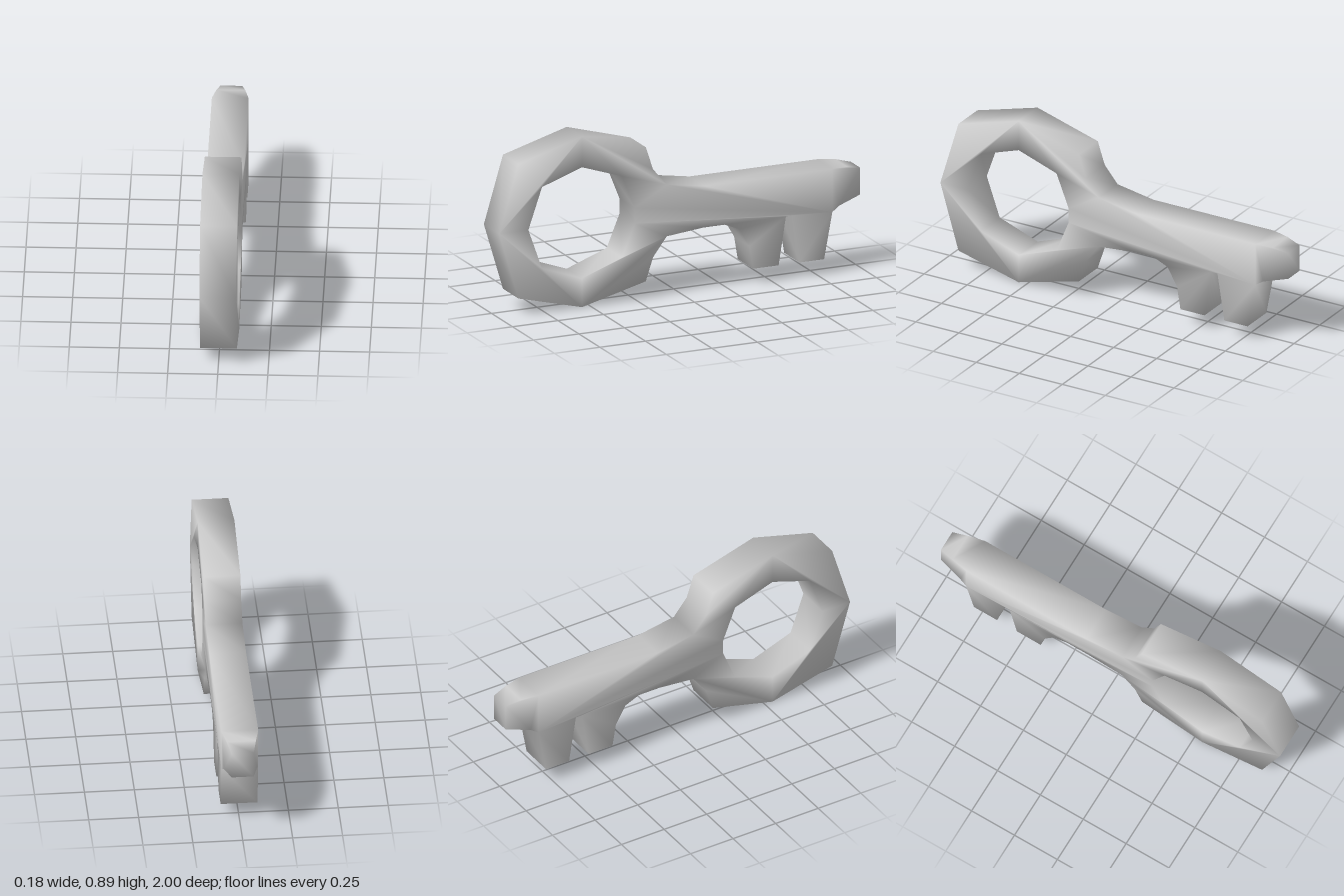
import * as THREE from 'three';

// Key outline as [z, y]: bow, shank, two teeth, tip and back to the bow
const outline = [
  [0.545, 0.89], [0.895, 0.79], [1, 0.44], [0.895, 0.09], [0.545, 0], [0.195, 0.09],
  [0.155, 0.21], [0.08, 0.31], [-0.12, 0.33], [-0.24, 0.33], [-0.32, 0.295],
  [-0.375, 0.2], [-0.395, 0.08], [-0.535, 0.08], [-0.575, 0.33],
  [-0.61, 0.33], [-0.65, 0.08], [-0.785, 0.08], [-0.83, 0.32],
  [-0.87, 0.345], [-1, 0.38], [-1, 0.52], [-0.92, 0.54], [-0.83, 0.545],
  [-0.13, 0.545], [0.08, 0.58], [0.155, 0.67], [0.195, 0.79],
];
// Hole in the bow, running the opposite way round
const hole = [
  [0.545, 0.73], [0.325, 0.655], [0.255, 0.48], [0.255, 0.4], [0.325, 0.23],
  [0.545, 0.15], [0.765, 0.23], [0.84, 0.44], [0.765, 0.655],
];
const TIP_START = 18, TIP_END = 23; // outline points bounding the tapered tip

// Half thickness, thinning towards the tip
const halfWidth = (z) => 0.092 - 0.037 * Math.max(0, (-0.83 - z) / 0.17);

function keyGeometry() {
  const points = [...outline, ...hole];
  const n = points.length;
  const position = [];
  for (const side of [-1, 1]) {
    for (const [z, y] of points) position.push(side * halfWidth(z), y, z);
  }
  const index = [];

  // Flat sides, mirrored left and right
  const addSides = (ring, holeRing) => {
    const vectors = (ids) => ids.map((i) => new THREE.Vector2(...points[i]));
    const ids = [...ring, ...holeRing];
    const faces = THREE.ShapeUtils.triangulateShape(
      vectors(ring), holeRing.length ? [vectors(holeRing)] : []);
    for (const face of faces) {
      const [a, b, c] = face.map((i) => ids[i]);
      index.push(a, b, c, a + n, c + n, b + n);
    }
  };
  const outer = outline.map((_, i) => i);
  const inner = hole.map((_, i) => outline.length + i);
  addSides(outer.filter((i) => i <= TIP_START || i >= TIP_END), inner);
  addSides(outer.slice(TIP_START, TIP_END + 1), []);

  // Rim around the outline and inside the hole
  for (const ring of [outer, inner]) {
    ring.forEach((a, i) => {
      const b = ring[(i + 1) % ring.length];
      index.push(a, b, b + n, a, b + n, a + n);
    });
  }

  const geometry = new THREE.BufferGeometry();
  geometry.setAttribute('position', new THREE.Float32BufferAttribute(position, 3));
  geometry.setIndex(index);
  geometry.computeVertexNormals(); // shared corners give soft shading
  return geometry;
}

export function createModel() {
  const group = new THREE.Group();
  group.name = 'key';
  const body = new THREE.Mesh(
    keyGeometry(), new THREE.MeshStandardMaterial({ color: 0xcccccc }));
  body.name = 'keyBody';
  group.add(body);
  return group;
}
